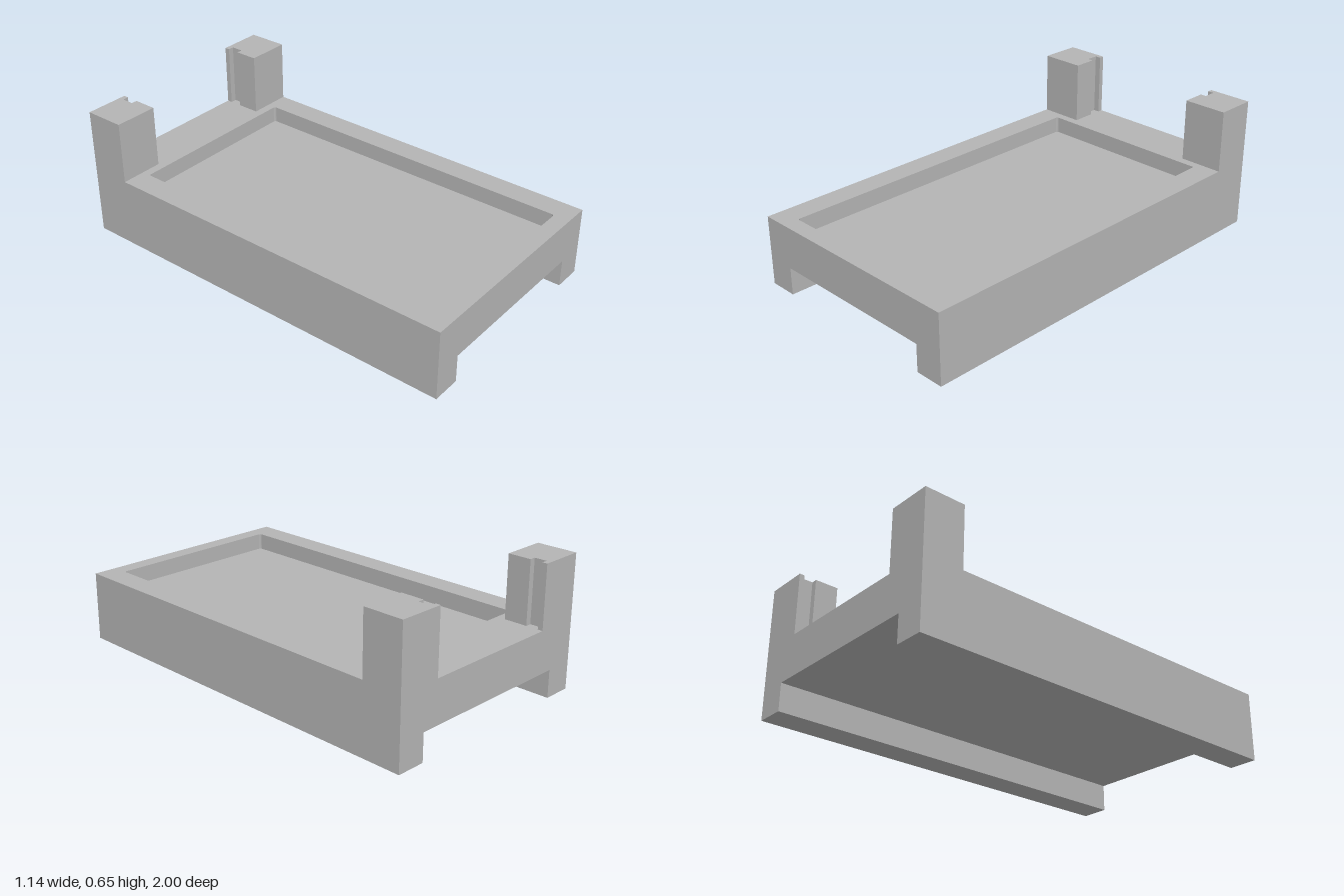
import * as THREE from 'three';

const W = 0.57, L = 1, FLOOR = 0.26, DECK = 0.342, TOP = 0.648;

function polygon(points) {
  return new THREE.Shape(points.map(([x, y]) => new THREE.Vector2(x, y)));
}

// Extrudes a plan drawn as (x, -z) upwards from y0 to y1
function extrudeUp(shape, y0, y1) {
  const geo = new THREE.ExtrudeGeometry(shape, { depth: y1 - y0, bevelEnabled: false, curveSegments: 6 });
  return geo.rotateX(-Math.PI / 2).translate(0, y0, 0);
}

function roundedHole(x, y0, y1, r) {
  const p = new THREE.Path();
  p.moveTo(-x + r, y0);
  p.lineTo(x - r, y0);
  p.absarc(x - r, y0 + r, r, -Math.PI / 2, 0);
  p.lineTo(x, y1 - r);
  p.absarc(x - r, y1 - r, r, 0, Math.PI / 2);
  p.lineTo(-x + r, y1);
  p.absarc(-x + r, y1 - r, r, Math.PI / 2, Math.PI);
  p.lineTo(-x, y0 + r);
  p.absarc(-x + r, y0 + r, r, Math.PI, Math.PI * 1.5);
  return p;
}

export function createModel() {
  const group = new THREE.Group();
  const grey = new THREE.MeshStandardMaterial({ color: 0xb4b4b4 });
  grey.name = 'grey';
  const add = (name, geo) => {
    const mesh = new THREE.Mesh(geo, grey);
    mesh.name = name;
    group.add(mesh);
  };

  // Base with two full-length side rails and an open channel beneath
  const leg = 0.428, under = 0.135;
  const profile = polygon([
    [-W, 0], [-leg, 0], [-leg, under], [leg, under],
    [leg, 0], [W, 0], [W, FLOOR], [-W, FLOOR],
  ]);
  add('base', new THREE.ExtrudeGeometry(profile, { depth: 2 * L, bevelEnabled: false }).translate(0, 0, -L));

  // Rim around the shallow tray
  const rim = polygon([[-W, -L], [W, -L], [W, L], [-W, L]]);
  rim.holes.push(roundedHole(0.452, -0.921, 0.757, 0.012));
  add('trayRim', extrudeUp(rim, FLOOR, DECK));

  // Rear posts, each with a vertical slot in its inner face
  const inner = 0.352, slot = 0.382;
  const post = [
    [inner, 0.8], [W, 0.8], [W, L], [inner, L],
    [inner, 0.975], [slot, 0.975], [slot, 0.915], [inner, 0.915],
  ];
  add('leftPost', extrudeUp(polygon(post), DECK, TOP));
  add('rightPost', extrudeUp(polygon(post.map(([x, y]) => [-x, y])), DECK, TOP));

  return group;
}
